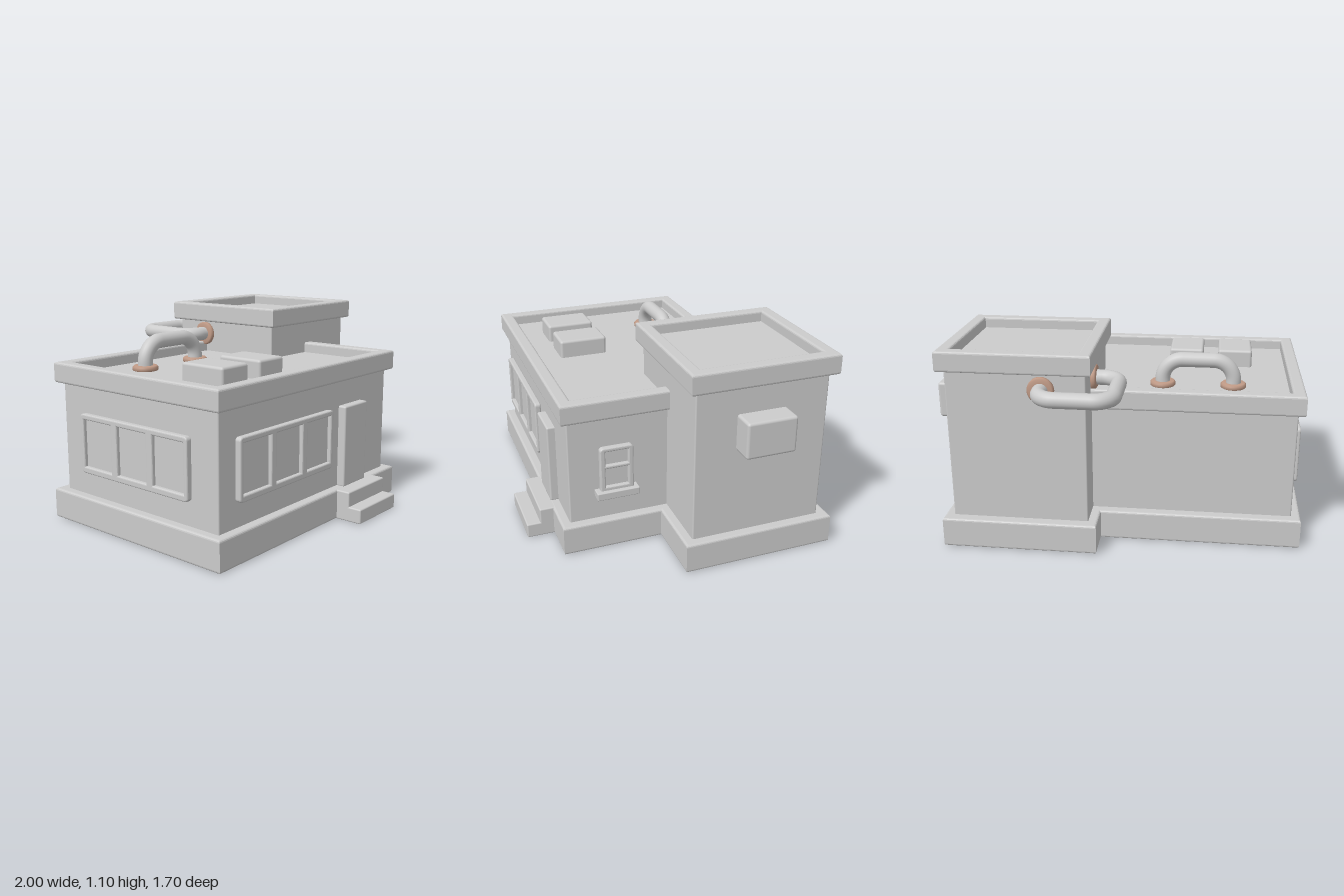
import * as THREE from 'three';
import { RoundedBoxGeometry } from 'three/addons/geometries/RoundedBoxGeometry.js';

const V = (x, y, z) => new THREE.Vector3(x, y, z);

export function createModel() {
  const model = new THREE.Group();
  const grey = new THREE.MeshStandardMaterial({ color: 0xcccccc });
  const rust = new THREE.MeshStandardMaterial({ color: 0xc09a86 });

  const add = (name, geometry, parent = model, material = grey) => {
    const mesh = new THREE.Mesh(geometry, material);
    mesh.name = name;
    parent.add(mesh);
    return mesh;
  };

  // Box given by its limits, with optional rounded edges
  const block = (name, [x0, x1], [y0, y1], [z0, z1], round = 0, parent = model) => {
    const size = [x1 - x0, y1 - y0, z1 - z0];
    const geo = round ? new RoundedBoxGeometry(...size, 3, round) : new THREE.BoxGeometry(...size);
    const mesh = add(name, geo, parent);
    mesh.position.set((x0 + x1) / 2, (y0 + y1) / 2, (z0 + z1) / 2);
    return mesh;
  };

  const rectangle = ([x0, x1], [y0, y1]) =>
    [[x0, y0], [x1, y0], [x1, y1], [x0, y1]].map(p => new THREE.Vector2(...p));

  // Extrusion from z = 0 to depth whose bevel stays inside the outline
  const extrude = (points, holes, depth, bevel) => {
    const shape = new THREE.Shape(points);
    holes.forEach(h => shape.holes.push(new THREE.Path(h)));
    const geo = new THREE.ExtrudeGeometry(shape, {
      depth: depth - 2 * bevel, bevelEnabled: true, bevelThickness: bevel,
      bevelSize: bevel, bevelOffset: -bevel, bevelSegments: 3,
    });
    return geo.translate(0, 0, bevel);
  };

  // Horizontal slab: outline in x and -z, raised to y0..y1
  const slab = (name, points, holes, y0, y1) => {
    const geo = extrude(points, holes, y1 - y0, 0.012);
    return add(name, geo.rotateX(-Math.PI / 2).translate(0, y0, 0));
  };

  // L-shaped plinth and entrance steps
  const plinth = [[-1, 0.7], [0.56, 0.7], [0.56, 0.15], [0.93, 0.15],
    [0.93, -0.69], [0.09, -0.69], [0.09, -0.505], [-1, -0.505]];
  slab('plinth', plinth.map(([x, z]) => new THREE.Vector2(x, -z)), [], 0, 0.165);
  block('upperStep', [-0.035, 0.33], [0, 0.164], [0.66, 0.775], 0.008);
  block('lowerStep', [-0.035, 0.33], [0, 0.082], [0.7, 0.85], 0.008);

  // Walls
  block('mainWalls', [-0.95, 0.51], [0.15, 0.78], [-0.45, 0.65], 0.008);
  block('towerWalls', [0.14, 0.88], [0.15, 1.02], [-0.63, 0.1], 0.008);

  // Parapets around sunken flat roofs
  const roof = (name, [x0, x1], [z0, z1], y0, y1) => {
    const rim = 0.07;
    const inner = rectangle([x0 + rim, x1 - rim], [-z1 + rim, -z0 - rim]);
    slab(name + 'Parapet', rectangle([x0, x1], [-z1, -z0]), [inner], y0, y1);
    block(name + 'Roof', [x0 + 0.05, x1 - 0.05], [y0 + 0.01, y1 - 0.06], [z0 + 0.05, z1 - 0.05]);
  };
  roof('main', [-0.985, 0.545], [-0.485, 0.685], 0.755, 0.865);
  roof('tower', [0.11, 0.915], [-0.67, 0.135], 0.99, 1.1);

  // Windows built facing +z, with the wall at z = 0
  const makeWindow = (name, width, height, panes) => {
    const group = new THREE.Group();
    group.name = name;
    const w = width / 2, h = height / 2, r = 0.02;
    const outline = new THREE.Shape();
    outline.absarc(w - r, h - r, r, 0, Math.PI / 2);
    outline.absarc(-w + r, h - r, r, Math.PI / 2, Math.PI);
    outline.absarc(-w + r, -h + r, r, Math.PI, Math.PI * 1.5);
    outline.absarc(w - r, -h + r, r, Math.PI * 1.5, Math.PI * 2);
    const holes = panes.map(([x, y]) => rectangle(x, y));
    add('windowFrame', extrude(outline.getPoints(4).slice(0, -1), holes, 0.036, 0.008), group);
    panes.forEach(([x, y]) => block('windowPane', x, y, [0, 0.015], 0, group));
    model.add(group);
    return group;
  };
  const threePanes = [-1, 0, 1].map(i => [[i * 0.255 - 0.105, i * 0.255 + 0.105], [-0.125, 0.13]]);
  makeWindow('frontWindow', 0.77, 0.32, threePanes).position.set(-0.45, 0.455, 0.65);
  const sideWindow = makeWindow('rightWindow', 0.77, 0.32, threePanes);
  sideWindow.position.set(-0.95, 0.455, 0.1);
  sideWindow.rotation.y = -Math.PI / 2;
  const sash = makeWindow('leftWindow', 0.185, 0.27,
    [[[-0.063, 0.063], [0.032, 0.112]], [[-0.063, 0.063], [-0.095, 0.012]]]);
  sash.position.set(0.51, 0.457, 0.392);
  sash.rotation.y = Math.PI / 2;
  block('windowSill', [0.5, 0.57], [0.3, 0.342], [0.275, 0.51], 0.005);

  // Door
  block('door', [0.035, 0.255], [0.16, 0.615], [0.63, 0.695], 0.01);

  // Ventilation boxes on the roof and the tower wall
  [-0.622, -0.335].forEach(x =>
    block('roofVent', [x - 0.099, x + 0.099], [0.78, 0.905], [0.2, 0.475], 0.015));
  block('wallVent', [0.86, 1], [0.645, 0.843], [-0.4, -0.125], 0.015);

  // Pipe through corner points with rounded bends
  const pipe = (name, points, bend) => {
    const path = new THREE.CurvePath();
    let from = points[0];
    for (let i = 1; i < points.length - 1; i++) {
      const p = points[i];
      const toward = q => p.clone().add(q.clone().sub(p).setLength(bend));
      const a = toward(points[i - 1]), b = toward(points[i + 1]);
      const ca = p.clone().lerp(a, 0.45), cb = p.clone().lerp(b, 0.45);
      path.add(new THREE.LineCurve3(from, a));
      path.add(new THREE.CubicBezierCurve3(a, ca, cb, b));
      from = b;
    }
    path.add(new THREE.LineCurve3(from, points[points.length - 1]));
    add(name, new THREE.TubeGeometry(path, 72, 0.041, 20));
  };
  pipe('roofPipe', [V(-0.61, 0.79, -0.18), V(-0.61, 0.955, -0.18),
    V(-0.22, 0.955, -0.18), V(-0.22, 0.79, -0.18)], 0.11);
  pipe('towerPipe', [V(0.365, 0.915, -0.6), V(0.365, 0.915, -0.81), V(-0.015, 0.915, -0.81),
    V(-0.015, 0.915, -0.42), V(0.17, 0.915, -0.42)], 0.095);

  // Rusty collars where the pipes meet the building
  const profile = [[0, 0], [0.062, 0], [0.07, 0.006], [0.07, 0.022], [0.062, 0.03], [0.035, 0.03]];
  const collar = new THREE.LatheGeometry(profile.map(p => new THREE.Vector2(...p)), 28);
  [[V(-0.61, 0.803, -0.18), V(0, 1, 0)], [V(-0.22, 0.803, -0.18), V(0, 1, 0)],
    [V(0.365, 0.915, -0.657), V(0, 0, -1)], [V(0.142, 0.915, -0.42), V(-1, 0, 0)],
  ].forEach(([position, axis]) => {
    const mesh = add('pipeCollar', collar, model, rust);
    mesh.position.copy(position);
    mesh.quaternion.setFromUnitVectors(V(0, 1, 0), axis);
  });

  return model;
}
